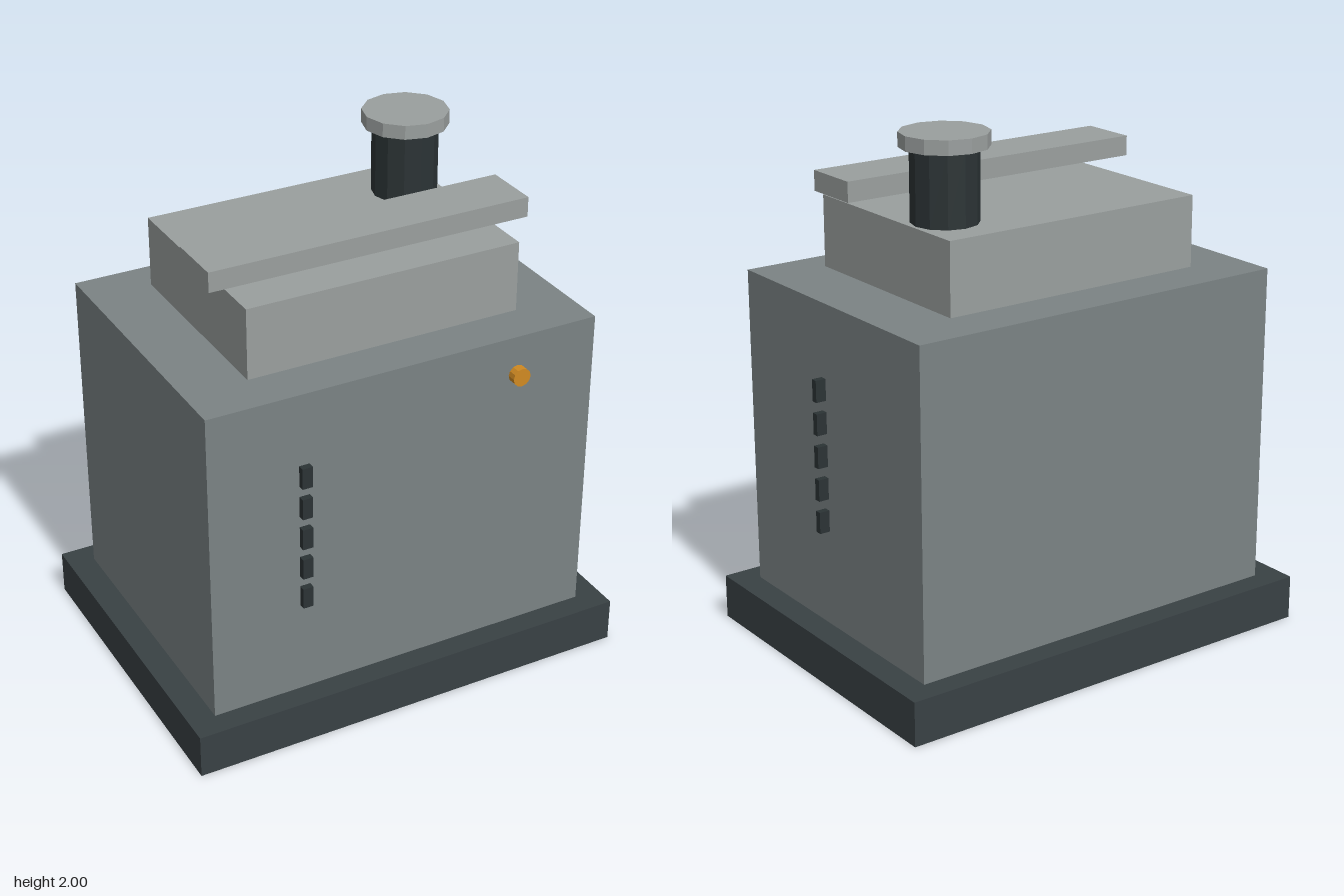
import * as THREE from 'three';

const paint = (color) => new THREE.MeshStandardMaterial({ color, flatShading: true });

export function createModel() {
  const model = new THREE.Group();
  const dark = paint(0x394144);
  const steel = paint(0x7b8384);
  const pale = paint(0x9a9f9e);
  const black = paint(0x2b3335);
  const amber = paint(0xd08a22);

  const add = (name, geometry, material, x, y, z, parent = model) => {
    const mesh = new THREE.Mesh(geometry, material);
    mesh.name = name;
    mesh.position.set(x, y, z);
    parent.add(mesh);
    return mesh;
  };
  const box = (w, h, d) => new THREE.BoxGeometry(w, h, d);
  const drum = (r, h) => new THREE.CylinderGeometry(r, r, h, 12);

  // Stacked housing
  add('base', box(1.746, 0.17, 1.3), dark, 0, 0.085, 0);
  add('body', box(1.544, 1.23, 1.12), steel, 0, 0.785, 0);
  add('upperHousing', box(1.074, 0.27, 0.802), pale, 0, 1.545, 0);

  // Raised bar above the upper housing
  add('topBar', box(1.256, 0.076, 0.222), pale, -0.003, 1.762, 0.203);

  // Exhaust stack with its cap
  add('exhaustStack', drum(0.123, 0.27), black, 0.401, 1.813, -0.179);
  add('exhaustCap', drum(0.161, 0.053), pale, 0.401, 1.9735, -0.179);

  // Columns of vent slots on the front and the left side
  const vents = new THREE.Group();
  vents.name = 'vents';
  model.add(vents);
  const slot = box(0.04, 0.082, 0.025);
  for (let i = 0; i < 5; i++) {
    const y = 0.581 + i * 0.125;
    add('frontVent', slot, black, -0.406, y, 0.575, vents);
    add('sideVent', slot, black, 0.793, y, 0.046, vents);
  }

  // Round indicator in front of the body
  add('indicator', drum(0.035, 0.034), amber, 0.422, 1.278, 0.617).rotation.x = Math.PI / 2;

  return model;
}
